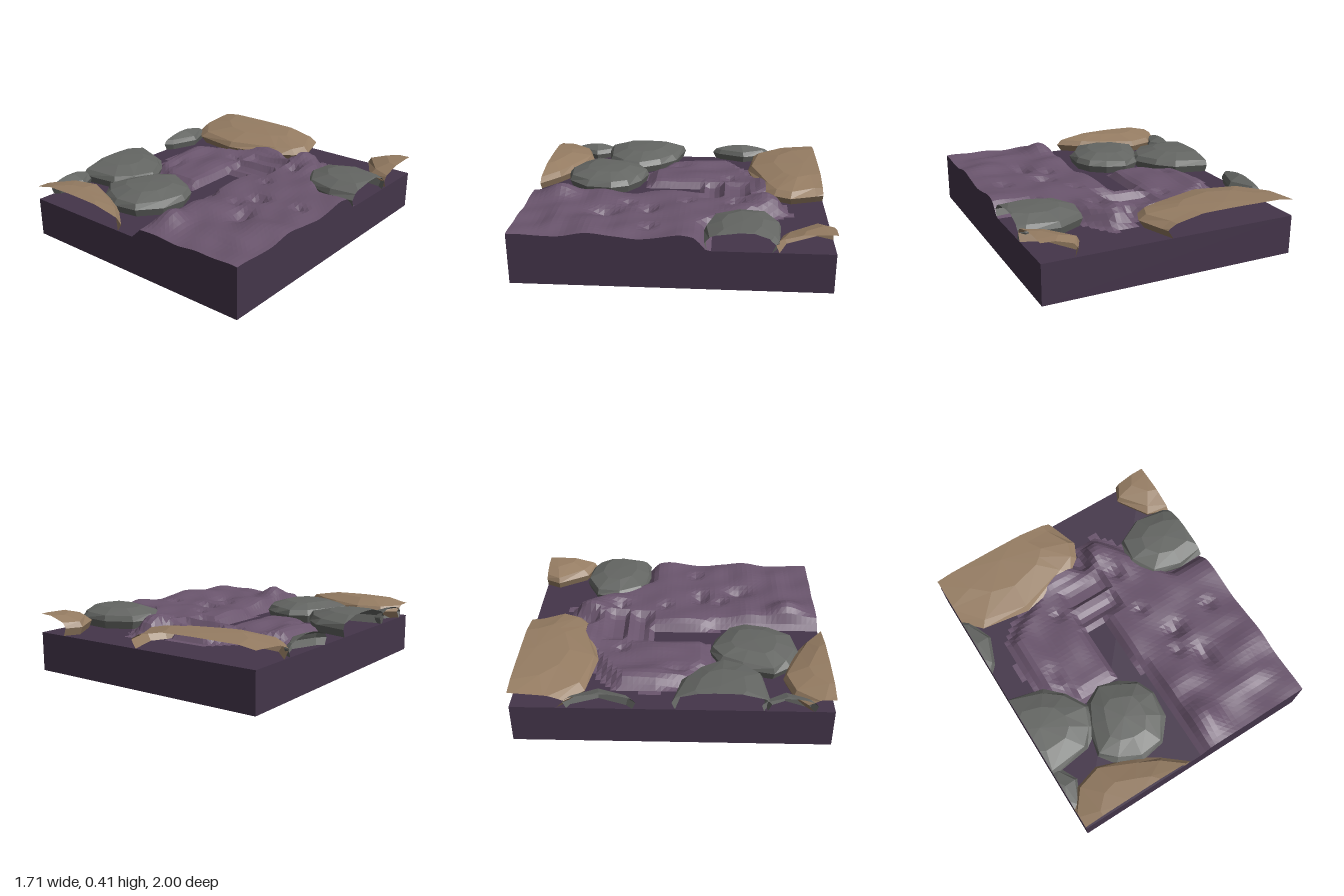
import * as THREE from 'three';

const W = 0.857, D = 1, FLOOR = 0.26;
const mat = (color) => new THREE.MeshStandardMaterial({ color, roughness: 1, flatShading: true, side: THREE.DoubleSide });
const slabMat = mat(0x44354a), mudMat = mat(0x6a556d), greyMat = mat(0x646663), tanMat = mat(0x967d63);

function meshFrom(positions, material, name) {
  const g = new THREE.BufferGeometry();
  g.setAttribute('position', new THREE.Float32BufferAttribute(positions, 3));
  g.computeVertexNormals();
  const m = new THREE.Mesh(g, material);
  m.name = name;
  return m;
}

// Cut a polygon to the tile's footprint
function clip(poly) {
  for (const [axis, sign, limit] of [[0, 1, W], [0, -1, W], [2, 1, D], [2, -1, D]]) {
    const out = [];
    poly.forEach((a, i) => {
      const b = poly[(i + 1) % poly.length];
      const da = limit - sign * a[axis], db = limit - sign * b[axis];
      if (da >= 0) out.push(a);
      if (da * db < 0) out.push(a.map((v, k) => v + (b[k] - v) * da / (da - db)));
    });
    poly = out;
  }
  return poly;
}

// Faceted dome over an outline (clockwise from above), open where the tile edge cuts it
function boulder(name, material, [cx, cz], top, outline) {
  const h = top - FLOOR;
  const rings = [[0.93, 0], [1, 0.4], [0.9, 0.68], [0.52, 0.95]].map(([s, t], r) =>
    outline.map(([x, z], i) => {
      const k = s * (r > 1 ? 1 + 0.05 * Math.sin(i * 2.3 + r) : 1);
      return [cx + (x - cx) * k, FLOOR + h * t, cz + (z - cz) * k];
    }));
  const pos = [], n = outline.length;
  const tri = (...p) => {
    const c = clip(p);
    for (let i = 1; i + 1 < c.length; i++) pos.push(...c[0], ...c[i], ...c[i + 1]);
  };
  for (let i = 0; i < n; i++) {
    const j = (i + 1) % n;
    for (let r = 0; r < 3; r++) {
      tri(rings[r][j], rings[r][i], rings[r + 1][i]);
      tri(rings[r][j], rings[r + 1][i], rings[r + 1][j]);
    }
    tri(rings[3][j], rings[3][i], [cx, top, cz]);
  }
  return meshFrom(pos, material, name);
}

// Footprint of the churned mud
const shore = [[0.03, 1.2], [0.03, 0.3], [0, 0.25], [-0.45, 0.26], [-0.5, 0.2], [-0.63, 0.13], [-0.69, -0.1],
  [-0.68, -0.36], [-0.55, -0.47], [-0.4, -0.54], [-0.26, -0.69], [0.02, -0.69], [0.09, -0.6], [0.12, -0.74],
  [0.29, -0.76], [0.39, -0.62], [0.48, -0.48], [0.62, -0.24], [1.1, -0.23], [1.1, 1.2]];

// Hills and pits: x, z, radius x, radius z, height
const bumps = [
  [0.18, 0.78, 0.1, 0.12, 0.075], [0.2, 0.52, 0.14, 0.1, 0.03], [0.72, 0.52, 0.16, 0.13, 0.035],
  [0.6, 0.75, 0.18, 0.07, 0.025], [0.75, -0.08, 0.2, 0.1, 0.025], [0.72, 0.3, 0.15, 0.08, 0.02],
  [0.45, -0.02, 0.1, 0.12, 0.02], [0.2, -0.6, 0.08, 0.1, 0.06], [0.33, -0.42, 0.06, 0.12, 0.025],
  [-0.12, -0.6, 0.13, 0.06, 0.035], [-0.55, -0.22, 0.07, 0.2, 0.025], [-0.3, 0, 0.08, 0.2, 0.015],
  [0.25, -0.07, 0.035, 0.035, -0.03], [0.38, 0.18, 0.06, 0.05, -0.06], [0.68, 0.15, 0.04, 0.04, -0.035],
  [0.45, 0.45, 0.05, 0.08, -0.05], [0.3, 0.32, 0.04, 0.04, -0.03], [-0.26, -0.35, 0.035, 0.035, -0.03],
  [0.25, -0.4, 0.04, 0.04, -0.04], [-0.5, 0.02, 0.04, 0.08, -0.025]];

const step = THREE.MathUtils.smoothstep;

// Distance inside the shore line, zero outside
function inside(x, z) {
  let hit = false, d = 9;
  shore.forEach(([ax, az], i) => {
    const [bx, bz] = shore[(i + 1) % shore.length];
    if ((az > z) !== (bz > z) && x < ax + (bx - ax) * (z - az) / (bz - az)) hit = !hit;
    const ex = bx - ax, ez = bz - az;
    const t = THREE.MathUtils.clamp(((x - ax) * ex + (z - az) * ez) / (ex * ex + ez * ez), 0, 1);
    d = Math.min(d, Math.hypot(x - ax - ex * t, z - az - ez * t));
  });
  return hit ? d : 0;
}

// How far a point is within a soft-edged rectangular trench, 0 to 1
const trench = (x, z, x0, x1, z0, z1, s = 0.04) =>
  step(x, x0 - s, x0) * (1 - step(x, x1, x1 + s)) * step(z, z0 - s, z0) * (1 - step(z, z1, z1 + s));

function mudHeight(x, z) {
  const m = step(inside(x, z), 0, 0.09);
  if (!m) return 0;
  let h = 0.072 + 0.006 * Math.sin(9 * x + 14 * z) + 0.004 * Math.sin(23 * x - 11 * z);
  for (const [bx, bz, rx, rz, a] of bumps) h += a * Math.exp(-(((x - bx) / rx) ** 2) - ((z - bz) / rz) ** 2);
  h -= 0.02 * (1 - step(x, -0.2, 0.2));
  h *= 1 - trench(x, z, -0.15, 0.01, -0.15, 0.4);
  h *= 1 - 0.85 * trench(x, z, -0.15, 0.13, -0.27, -0.2);
  h *= 1 - 0.65 * trench(x, z, -0.13, 0.13, -0.45, -0.36);
  return Math.max(0, h * m);
}

export function createModel() {
  const root = new THREE.Group();
  root.name = 'rockyMudTile';

  // Base slab
  const slab = new THREE.Mesh(new THREE.BoxGeometry(2 * W, FLOOR, 2 * D), slabMat);
  slab.position.y = FLOOR / 2;
  slab.name = 'baseSlab';
  root.add(slab);

  // Mud surface on a square grid, with walls along the tile's front and left edges
  const NX = 48, NZ = 56, mud = [], wall = [];
  const grid = [];
  for (let j = 0; j <= NZ; j++) {
    grid.push([]);
    for (let i = 0; i <= NX; i++) {
      const x = -W + 2 * W * i / NX, z = -D + 2 * D * j / NZ;
      grid[j].push([x, FLOOR + mudHeight(x, z), z]);
    }
  }
  const quad = (out, a, b, c, d) => out.push(...a, ...b, ...c, ...a, ...c, ...d);
  const foot = ([x, , z]) => [x, FLOOR, z];
  const raised = (...p) => p.some((v) => v[1] > FLOOR + 0.001);
  for (let j = 0; j < NZ; j++) {
    for (let i = 0; i < NX; i++) {
      const a = grid[j][i], b = grid[j + 1][i], c = grid[j + 1][i + 1], d = grid[j][i + 1];
      if (!raised(a, b, c, d)) continue;
      quad(mud, a, b, c, d);
      if (j === NZ - 1 && raised(b, c)) quad(wall, foot(b), foot(c), c, b);
      if (i === NX - 1 && raised(c, d)) quad(wall, foot(c), foot(d), d, c);
    }
  }
  root.add(meshFrom(mud, mudMat, 'mudSurface'), meshFrom(wall, slabMat, 'mudEdgeWalls'));

  // Boulders
  root.add(
    boulder('largeTanBoulder', tanMat, [-0.4, -0.9], 0.392, [[0, -1.14], [0.07, -0.95], [0.13, -0.77], [0.08, -0.66],
      [-0.02, -0.58], [-0.42, -0.49], [-0.75, -0.54], [-0.95, -0.76], [-1.05, -1.1], [-0.5, -1.3]]),
    boulder('backTanBoulder', tanMat, [0.88, -0.95], 0.388, [[0.9, -1.3], [1.15, -1.1], [1.15, -0.75], [0.9, -0.62],
      [0.71, -0.69], [0.58, -0.9], [0.66, -1.06]]),
    boulder('frontTanBoulder', tanMat, [-0.5, 1.04], 0.388, [[-0.6, 0.7], [-0.34, 0.79], [-0.2, 0.88], [-0.03, 1.02],
      [-0.1, 1.2], [-0.5, 1.35], [-0.95, 1.2], [-0.93, 0.9], [-0.77, 0.75]]),
    boulder('rightGreyBoulder', greyMat, [-0.78, 0.3], 0.392, [[-0.86, 0], [-0.62, 0.06], [-0.51, 0.17], [-0.42, 0.33],
      [-0.45, 0.48], [-0.58, 0.57], [-0.86, 0.61], [-1.08, 0.45], [-1.08, 0.15]]),
    boulder('frontGreyBoulder', greyMat, [-0.27, 0.53], 0.39, [[-0.3, 0.24], [-0.16, 0.28], [-0.05, 0.36], [0, 0.48],
      [-0.02, 0.66], [-0.14, 0.8], [-0.31, 0.83], [-0.47, 0.76], [-0.55, 0.65], [-0.5, 0.44], [-0.42, 0.3]]),
    boulder('backGreyBoulder', greyMat, [-0.95, -0.42], 0.375, [[-0.95, -0.72], [-0.81, -0.64], [-0.74, -0.46],
      [-0.81, -0.27], [-0.95, -0.12], [-1.15, -0.3], [-1.15, -0.6]]),
    boulder('smallGreyBoulder', greyMat, [-0.94, 0.72], 0.36, [[-0.95, 0.5], [-0.8, 0.58], [-0.74, 0.7],
      [-0.81, 0.86], [-0.95, 0.96], [-1.12, 0.85], [-1.12, 0.6]]),
    boulder('leftGreyBoulder', greyMat, [0.69, -0.44], 0.392, [[0.6, -0.68], [0.82, -0.66], [0.97, -0.56], [1, -0.4],
      [0.92, -0.21], [0.68, -0.2], [0.47, -0.25], [0.37, -0.42], [0.42, -0.59]]));
  return root;
}
